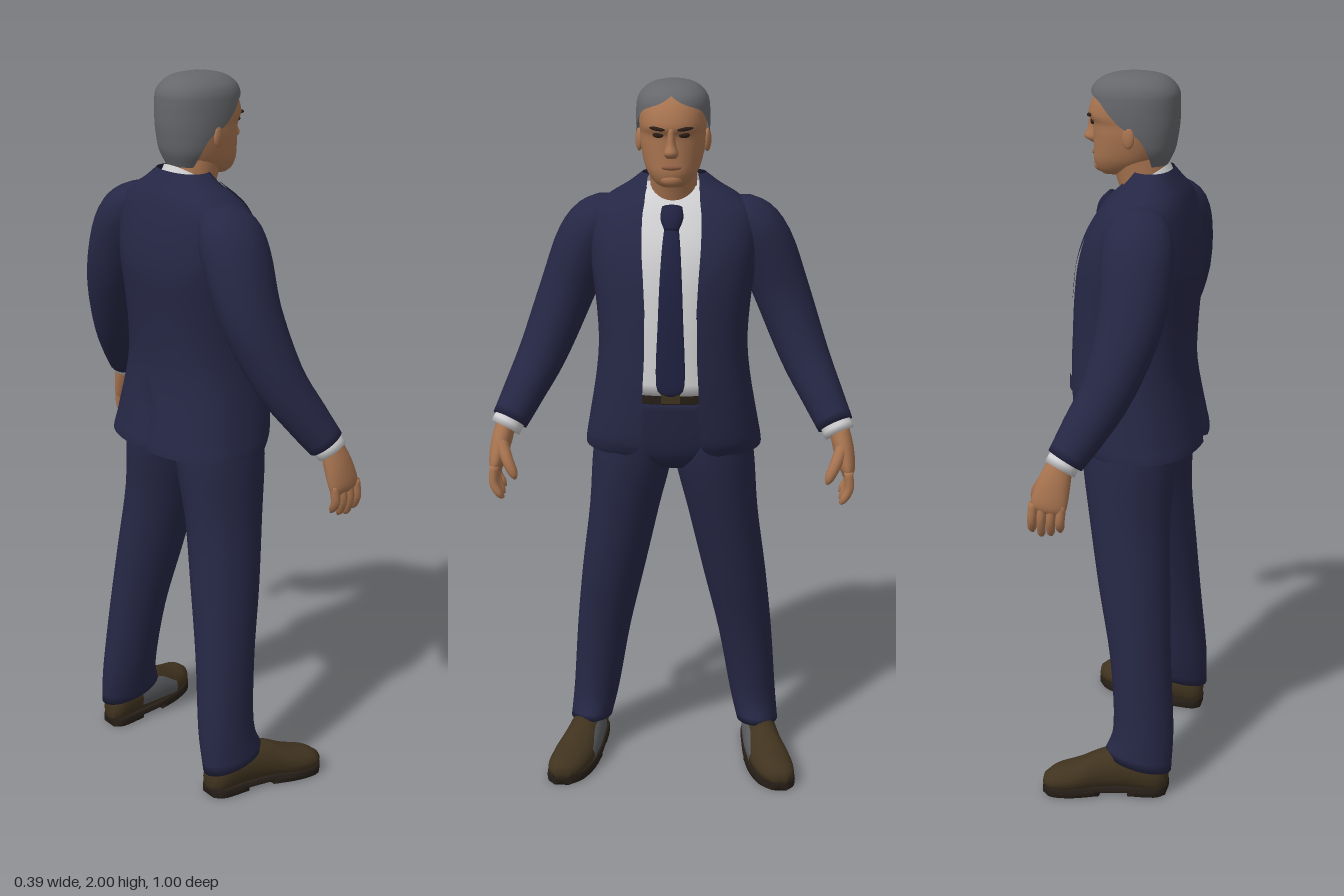
import * as THREE from 'three';
import { mergeVertices } from 'three/addons/utils/BufferGeometryUtils.js';

const V = (x, y, z) => new THREE.Vector3(x, y, z);
const UP = V(0, 1, 0), FRONT = V(0, 0, 1);
const mat = (name, color, double) => {
  const m = new THREE.MeshStandardMaterial({ color });
  m.name = name;
  if (double) m.side = THREE.DoubleSide;
  return m;
};

// Smooth skin over rings [x, y, z, halfWidth, halfDepth, startAngle, endAngle].
// Angle 0 points along ref; the rings follow the path unless up is fixed.
function loft(rings, { up, ref = FRONT, e = 1, steps = 4, n = 28, caps = true, adjust } = {}) {
  const curve = (f) => new THREE.CatmullRomCurve3(rings.map(f), false, 'catmullrom', 0.5);
  const path = curve((r) => V(r[0], r[1], r[2]));
  const size = curve((r) => V(r[3], r[4], 0));
  const arc = curve((r) => V(r[5] ?? 0, r[6] ?? Math.PI * 2 - (r[5] ?? 0), 0));
  const rows = (rings.length - 1) * steps, pos = [], idx = [];
  const pw = (v) => Math.sign(v) * Math.abs(v) ** e;
  for (let i = 0; i <= rows; i++) {
    const t = i / rows, c = path.getPoint(t), s = size.getPoint(t), k = arc.getPoint(t);
    const T = up ? up.clone().normalize() : path.getTangent(t);
    const A = T.clone().cross(ref).normalize(), B = A.clone().cross(T);
    for (let j = 0; j <= n; j++) {
      const q = k.x + (k.y - k.x) * j / n;
      const p = c.clone().addScaledVector(A, s.x * pw(Math.sin(q))).addScaledVector(B, s.y * pw(Math.cos(q)));
      if (adjust) adjust(p);
      pos.push(p.x, p.y, p.z);
    }
  }
  const w = n + 1;
  for (let i = 0; i < rows; i++) for (let j = 0; j < n; j++) {
    const a = i * w + j;
    idx.push(a, a + 1, a + w, a + 1, a + w + 1, a + w);
  }
  if (caps) [0, rows].forEach((i) => {
    const c = path.getPoint(i / rows), o = pos.length / 3;
    if (adjust) adjust(c);
    pos.push(c.x, c.y, c.z);
    for (let j = 0; j < n; j++) idx.push(o, i * w + j + (i ? 0 : 1), i * w + j + (i ? 1 : 0));
  });
  let g = new THREE.BufferGeometry();
  g.setAttribute('position', new THREE.Float32BufferAttribute(pos, 3));
  g.setIndex(idx);
  g = mergeVertices(g, 1e-5);
  g.computeVertexNormals();
  return g;
}

export function createModel() {
  const man = new THREE.Group();
  man.name = 'man';
  const suit = mat('navy suit', 0x262745, true), shirt = mat('white shirt', 0xd0d0d2, true);
  const tieBlue = mat('dark blue tie', 0x1f2140), skin = mat('skin', 0xa87450), lip = mat('lips', 0x8c5a42);
  const hair = mat('grey hair', 0x66676b, true), dark = mat('dark eyes', 0x2a1d17);
  const leather = mat('brown leather', 0x40331f), soleBrown = mat('dark sole', 0x271f18);
  const panel = mat('grey shoe panel', 0x5a5b5f, true);
  const add = (name, geo, m) => {
    const mesh = new THREE.Mesh(geo, m);
    mesh.name = name;
    man.add(mesh);
    return mesh;
  };
  const blob = (name, m, p, s) => {
    const b = add(name, new THREE.SphereGeometry(1, 18, 12), m);
    b.position.set(...p);
    b.scale.set(...s);
    return b;
  };

  // Jacket rows: height, back, front, half width, half opening
  const E = 0.85;
  const jacket = [
    [1.0, -0.2, 0.135, 0.245, 0.13], [1.02, -0.198, 0.148, 0.243, 0.095], [1.06, -0.19, 0.16, 0.236, 0.08],
    [1.2, -0.165, 0.167, 0.212, 0.075], [1.3, -0.165, 0.164, 0.203, 0.07], [1.4, -0.172, 0.158, 0.208, 0.07],
    [1.5, -0.18, 0.145, 0.22, 0.075], [1.58, -0.172, 0.12, 0.225, 0.08], [1.65, -0.155, 0.08, 0.215, 0.08],
    [1.69, -0.14, 0.05, 0.175, 0.075], [1.72, -0.12, 0.02, 0.125, 0.07], [1.75, -0.1, 0, 0.085, 0.065]];
  const angle = (x, rx) => Math.asin(Math.min(1, (x / rx) ** (1 / E)));
  const row = ([y, b, f, rx], grow, start, end) => [0, y, (b + f) / 2, rx + grow, (f - b) / 2 + grow, start, end];
  add('jacket', loft(jacket.map((r) => row(r, 0, angle(r[4], r[3]))), {
    up: UP, e: E, n: 64, caps: false,
    adjust: (p) => { if (Math.abs(p.x) < 0.004 && p.z < 0 && p.y < 1.16) p.z += 0.02; }, // back vent
  }), suit);
  add('shirt', loft(jacket.slice(3, 11).map((r) => row([r[0] - (r[0] < 1.25 ? 0.015 : 0), r[1] + 0.02, r[2] - 0.012, r[3] - 0.02], 0)),
    { up: UP, e: E, n: 48 }), shirt);
  add('shirtCollar', loft([[0, 1.685, -0.035, 0.088, 0.088, 0.25], [0, 1.705, -0.032, 0.08, 0.08, 0.28], [0, 1.728, -0.03, 0.072, 0.072, 0.4]],
    { up: V(0, 0.85, 0.52), caps: false }), shirt);
  add('tie', loft([[0, 1.188, 0.163, 0.012, 0.004], [0, 1.22, 0.165, 0.038, 0.006], [0, 1.4, 0.155, 0.033, 0.006],
    [0, 1.5, 0.142, 0.029, 0.006], [0, 1.58, 0.118, 0.024, 0.007], [0, 1.635, 0.088, 0.018, 0.009]]), tieBlue);
  add('tieKnot', loft([[0, 1.62, 0.097, 0.018, 0.012], [0, 1.65, 0.082, 0.03, 0.017], [0, 1.675, 0.06, 0.027, 0.015]]), tieBlue);
  add('belt', loft([[0, 1.16, 0, 0.197, 0.153], [0, 1.205, 0, 0.196, 0.153]], { up: UP, e: E }), soleBrown);
  const buckle = add('buckle', new THREE.BoxGeometry(0.05, 0.036, 0.008), leather);
  buckle.position.set(0, 1.183, 0.154);
  add('trouserSeat', loft([[0, 0.95, -0.015, 0.1, 0.09], [0, 0.99, -0.012, 0.19, 0.122], [0, 1.05, -0.008, 0.218, 0.137],
    [0, 1.17, 0, 0.196, 0.151]], { up: UP, e: 0.9 }), suit);

  // Neck and head
  add('neck', loft([[0, 1.6, -0.05, 0.075, 0.065], [0, 1.7, -0.025, 0.062, 0.067], [0, 1.8, 0.005, 0.066, 0.075]], { up: UP }), skin);
  const skull = [[1.733, 0.03, 0.088, 0.03], [1.745, -0.02, 0.102, 0.05], [1.77, -0.06, 0.111, 0.068], [1.8, -0.08, 0.111, 0.078],
    [1.84, -0.095, 0.111, 0.085], [1.868, -0.1, 0.113, 0.086], [1.892, -0.105, 0.124, 0.088], [1.935, -0.105, 0.11, 0.085],
    [1.965, -0.08, 0.085, 0.065], [1.982, -0.03, 0.04, 0.03]];
  add('head', loft(skull.map((r) => row(r, 0)), { up: UP, e: 0.93, n: 40 }), skin);
  add('hair', loft([[0, 1.762, -0.035, 0.058, 0.052, 1.95], [0, 1.8, -0.02, 0.083, 0.085, 1.9], [0, 1.84, -0.008, 0.093, 0.105, 1.75],
    [0, 1.87, -0.003, 0.096, 0.114, 1.4], [0, 1.9, 0, 0.097, 0.118, 1.15], [0, 1.93, 0, 0.096, 0.118, 0.85],
    [0, 1.95, 0, 0.093, 0.116, 0.3], [0, 1.97, 0, 0.083, 0.104, 0], [0, 1.988, -0.002, 0.06, 0.078, 0],
    [0, 1.997, -0.003, 0.03, 0.04, 0], [0, 2, -0.003, 0.001, 0.001, 0]], { up: UP, e: 0.93, n: 48, caps: false }), hair);
  add('nose', loft([[0, 1.812, 0.106, 0.013, 0.012], [0, 1.826, 0.114, 0.019, 0.025], [0, 1.85, 0.111, 0.012, 0.019],
    [0, 1.89, 0.112, 0.009, 0.012]], { up: UP, n: 16 }), skin);
  blob('lips', lip, [0, 1.788, 0.108], [0.026, 0.007, 0.007]);
  blob('chin', skin, [0, 1.755, 0.088], [0.032, 0.021, 0.024]);

  // Shoe rings from heel to toe, drawn for the left foot
  const shoe = [[0.245, 0.05, -0.152, 0.025, 0.03], [0.248, 0.06, -0.125, 0.044, 0.06], [0.255, 0.07, -0.05, 0.048, 0.065],
    [0.268, 0.063, 0.03, 0.054, 0.06], [0.29, 0.047, 0.1, 0.06, 0.045], [0.308, 0.04, 0.16, 0.05, 0.034], [0.316, 0.035, 0.19, 0.022, 0.018]];

  for (const s of [1, -1]) {
    const side = s > 0 ? 'left' : 'right';
    const flip = (rings) => rings.map(([x, ...r]) => [s * x, ...r]);
    const span = (a, b) => (s > 0 ? [a, b] : [-b, -a]);

    // Lapel and pocket flap lie on the jacket
    const width = [0.004, 0.03, 0.05, 0.055, 0.05, 0.03];
    add(side + 'Lapel', loft(jacket.slice(5, 11).map((r, i) =>
      row(r, 0.005, ...span(angle(r[4] - 0.004, r[3]), angle(r[4] + width[i], r[3])))), { up: UP, e: E, n: 8, caps: false }), suit);
    add(side + 'PocketFlap', loft([[1.165, -0.172, 0.167, 0.218], [1.205, -0.165, 0.167, 0.212]].map((r) =>
      row(r, 0.007, ...span(angle(0.12, r[3]), angle(0.2, r[3])))), { up: UP, e: E, n: 10, caps: false }), suit);

    // Arm and hand
    add(side + 'Sleeve', loft(flip([[0.13, 1.655, -0.05, 0.03, 0.05], [0.195, 1.625, -0.055, 0.066, 0.085], [0.24, 1.56, -0.063, 0.08, 0.095],
      [0.295, 1.42, -0.06, 0.076, 0.086], [0.358, 1.26, -0.018, 0.067, 0.07], [0.41, 1.155, 0.035, 0.057, 0.06],
      [0.446, 1.085, 0.075, 0.05, 0.05]])), suit);
    add(side + 'Cuff', loft(flip([[0.435, 1.107, 0.065, 0.043, 0.043], [0.458, 1.065, 0.086, 0.043, 0.043]])), shirt);
    add(side + 'Palm', loft(flip([[0.455, 1.08, 0.085, 0.027, 0.033], [0.468, 1.03, 0.098, 0.028, 0.043],
      [0.48, 0.975, 0.11, 0.022, 0.048], [0.48, 0.952, 0.115, 0.012, 0.038]])), skin);
    for (let i = 0; i < 4; i++) {
      const z = 0.076 + 0.025 * i, drop = [0.012, 0, -0.004, 0.006][i];
      add(side + 'Finger', loft(flip([[0.482, 0.975, z, 0.013, 0.013], [0.485, 0.93, z + 0.004, 0.0125, 0.0125],
        [0.472, 0.895 + drop, z + 0.008, 0.011, 0.011], [0.463, 0.88 + drop, z + 0.009, 0.004, 0.004]]), { n: 10 }), skin);
    }
    add(side + 'Thumb', loft(flip([[0.466, 1.04, 0.12, 0.018, 0.018], [0.446, 0.995, 0.15, 0.016, 0.016],
      [0.43, 0.96, 0.16, 0.013, 0.013], [0.424, 0.943, 0.162, 0.004, 0.004]]), { n: 10 }), skin);

    // Trouser leg with a hem that rises at the front
    add(side + 'TrouserLeg', loft(flip([[0.25, 0.095, -0.068, 0.061, 0.097], [0.233, 0.2, -0.08, 0.068, 0.086], [0.208, 0.4, -0.065, 0.078, 0.086],
      [0.175, 0.6, -0.04, 0.09, 0.1], [0.14, 0.8, -0.018, 0.099, 0.113], [0.114, 0.97, -0.01, 0.112, 0.13], [0.105, 1.1, -0.005, 0.1, 0.125]]), {
      up: UP, adjust: (p) => { if (p.y < 0.18) p.y += (p.z + 0.07) * 0.22 * (0.18 - p.y) / 0.085; },
    }), suit);

    // Shoe
    const lie = { ref: UP, up: FRONT };
    const flat = (lo, hi) => (p) => { p.y = Math.min(hi, Math.max(lo, p.y)); };
    const tread = flip(shoe).map(([x, , z, a]) => [x, 0.015, z, a * 1.06, 0.06]);
    add(side + 'Shoe', loft(flip(shoe), { ...lie, adjust: flat(0.02, 1) }), leather);
    add(side + 'ShoePanel', loft(flip(shoe).slice(2, 5).map(([x, y, z, a, b], i) =>
      [x, y, z, a + 0.003, b + 0.003, ...span(i === 1 ? 0.75 : 1.15, 1.95)]), { ...lie, n: 10, caps: false }), panel);
    add(side + 'Sole', loft(tread, { ...lie, adjust: flat(0.012, 0.027) }), soleBrown);
    add(side + 'Heel', loft(tread.slice(0, 3), { ...lie, adjust: flat(0, 0.02) }), soleBrown);
    add(side + 'Tread', loft(tread.slice(3), { ...lie, adjust: flat(0, 0.02) }), soleBrown);

    // Face details
    blob(side + 'Ear', skin, [s * 0.09, 1.843, -0.002], [0.009, 0.03, 0.018]).rotation.y = s * -0.3;
    blob(side + 'Eye', dark, [s * 0.034, 1.871, 0.107], [0.015, 0.007, 0.006]).rotation.y = s * 0.35;
    blob(side + 'Eyebrow', dark, [s * 0.036, 1.888, 0.115], [0.022, 0.005, 0.006]).rotation.set(0, s * 0.35, s * 0.1);
  }

  // Turn the figure to face +x
  man.rotation.y = Math.PI / 2;
  const model = new THREE.Group();
  model.name = 'model';
  model.add(man);
  return model;
}
